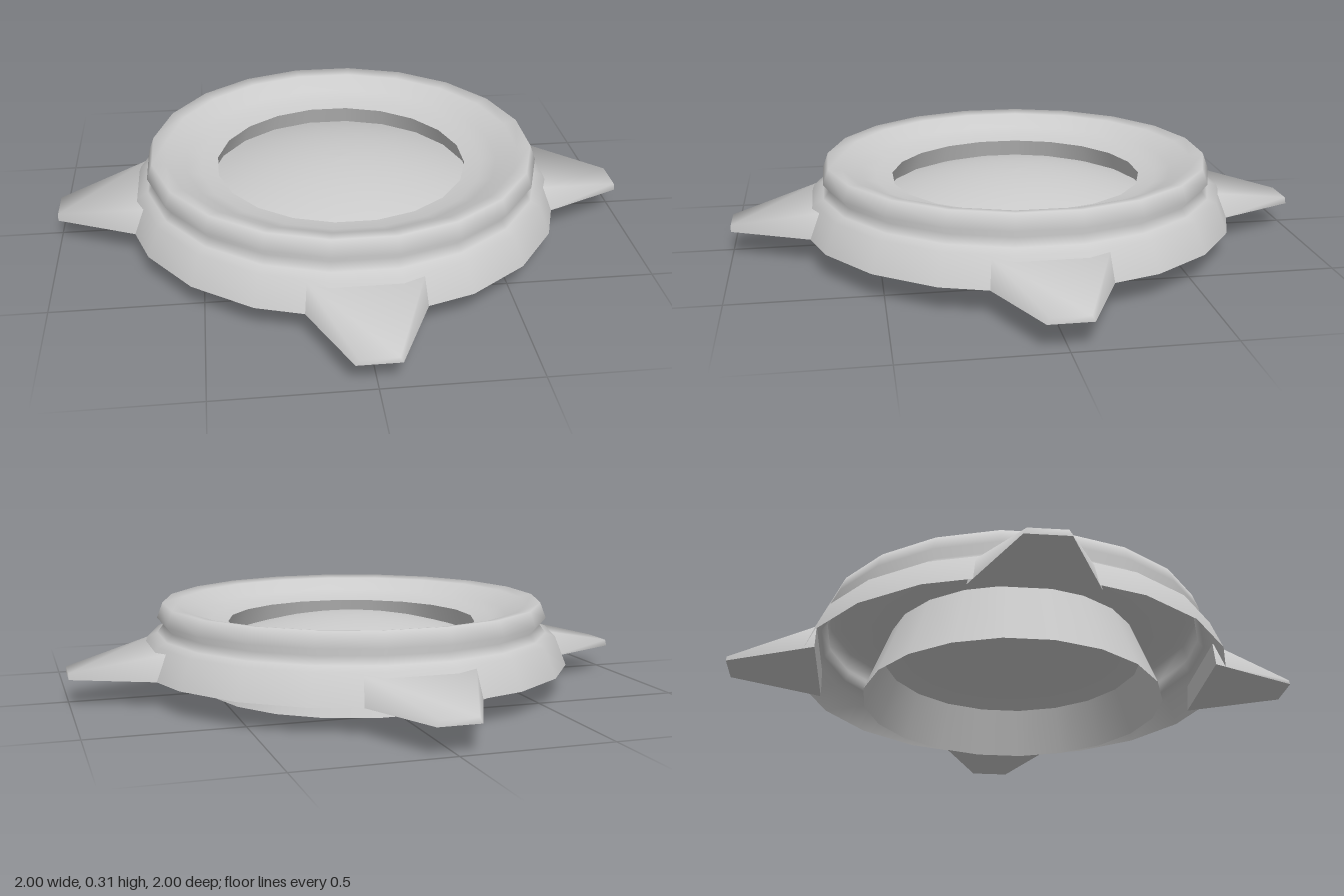
import * as THREE from 'three';
import { toCreasedNormals } from 'three/addons/utils/BufferGeometryUtils.js';

const SIDES = 20;
const openMaterial = new THREE.MeshStandardMaterial({ color: 0xcccccc, side: THREE.DoubleSide });
const solidMaterial = new THREE.MeshStandardMaterial({ color: 0xcccccc });

function lathe(name, profile) {
  const points = profile.map(([r, y]) => new THREE.Vector2(r, y));
  const mesh = new THREE.Mesh(new THREE.LatheGeometry(points, SIDES), openMaterial);
  mesh.rotation.y = Math.PI / SIDES; // flat sides face the four axes
  mesh.name = name;
  return mesh;
}

// Arc from the rim up to the apex on the axis
function capProfile(rim, rimY, apexY) {
  const points = [];
  for (let i = 0; i <= 8; i++) {
    const t = 1 - i / 8;
    points.push([rim * t, apexY - (apexY - rimY) * t * t]);
  }
  return points;
}

// Wedge pointing along +x: wide and tall at the root, thin at the tip, soft upper edges
function spikeGeometry() {
  const geometry = new THREE.BoxGeometry(2, 2, 2);
  const p = geometry.attributes.position;
  for (let i = 0; i < p.count; i++) {
    const tip = p.getX(i) > 0, top = p.getY(i) > 0, side = Math.sign(p.getZ(i));
    const half = tip ? (top ? 0.06 : 0.07) : (top ? 0.185 : 0.21);
    p.setXYZ(i, tip ? 1 : 0.69, top ? (tip ? 0.11 : 0.18) : 0.09, side * half);
  }
  return toCreasedNormals(geometry, 1.5);
}

export function createModel() {
  const model = new THREE.Group();
  model.name = 'spikedRing';

  // Sloping skirt, narrow neck, rounded rim and the bowl down to the opening
  model.add(lathe('ringBody', [
    [0.762, 0.09], [0.722, 0.19], [0.688, 0.203], [0.668, 0.23], [0.688, 0.255],
    [0.668, 0.308], [0.62, 0.3], [0.55, 0.262], [0.5, 0.245], [0.44, 0.235],
  ]));

  // Open collar flaring down to the ground
  model.add(lathe('baseCollar', [[0.53, 0], [0.44, 0.235]]));

  // Shallow dome set just below the lip of the opening
  model.add(lathe('centreDome', capProfile(0.466, 0.167, 0.25)));

  // Four spikes around the skirt
  const spike = spikeGeometry();
  for (let i = 0; i < 4; i++) {
    const mesh = new THREE.Mesh(spike, solidMaterial);
    mesh.name = 'spike';
    mesh.rotation.y = i * Math.PI / 2;
    model.add(mesh);
  }
  return model;
}
